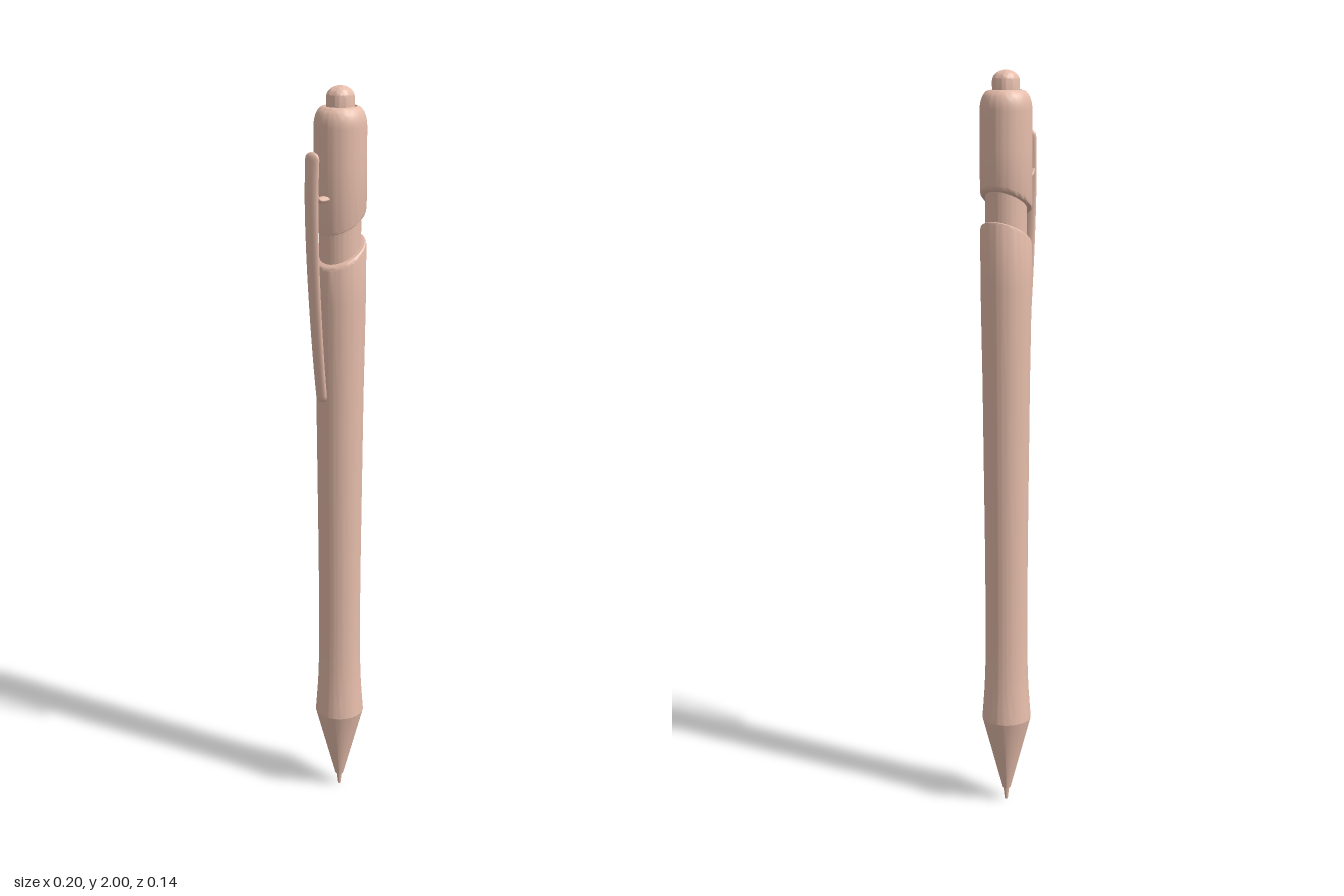
import * as THREE from 'three';
import { toCreasedNormals } from 'three/addons/utils/BufferGeometryUtils.js';

const AXIS_X = 0.03;
const material = new THREE.MeshStandardMaterial({ color: 0xe6bdab, side: THREE.DoubleSide });

function addMesh(group, name, geometry, x = AXIS_X) {
  const mesh = new THREE.Mesh(geometry, material);
  mesh.name = name;
  mesh.position.x = x;
  group.add(mesh);
}

// Lathe of [radius, y] points; rows between yFrom and yTo are sheared into a slanted end
function turned(points, slope = 0, yFrom = 0, yTo = 0) {
  const g = new THREE.LatheGeometry(points.map(([r, y]) => new THREE.Vector2(r, y)), 64);
  const p = g.attributes.position;
  for (let i = 0; i < p.count; i++) {
    const y = p.getY(i);
    if (y >= yFrom && y <= yTo) p.setY(i, y + slope * p.getX(i));
  }
  return toCreasedNormals(g, 0.6);
}

// Elliptical bar along a curve in the xy plane; size(t) gives [thickness, width] half sizes
function bar(curve, size, steps = 48, sides = 20) {
  const pos = [], index = [];
  for (let i = 0; i <= steps; i++) {
    const t = (1 - Math.cos(Math.PI * i / steps)) / 2;
    const c = curve.getPointAt(t), d = curve.getTangentAt(t), [a, b] = size(t);
    for (let j = 0; j < sides; j++) {
      const u = 2 * Math.PI * j / sides, n = a * Math.cos(u);
      pos.push(c.x - d.y * n, c.y + d.x * n, b * Math.sin(u));
      if (i < steps) {
        const k = i * sides + j, l = i * sides + (j + 1) % sides;
        index.push(k, l, k + sides, l, l + sides, k + sides);
      }
    }
  }
  const g = new THREE.BufferGeometry();
  g.setAttribute('position', new THREE.Float32BufferAttribute(pos, 3));
  g.setIndex(index);
  g.computeVertexNormals();
  return g;
}

const curve2 = (pts) => new THREE.CatmullRomCurve3(pts.map(([x, y]) => new THREE.Vector3(x, y, 0)));

export function createModel() {
  const group = new THREE.Group();
  group.name = 'pen';

  // Writing point and cone
  addMesh(group, 'tip', turned([[0, 0], [0.004, 0.002], [0.008, 0.036], [0.012, 0.038], [0.0675, 0.25]]));

  // Barrel, flared at the grip, with a slanted bevelled rim
  addMesh(group, 'barrel', turned([
    [0.0675, 0.25], [0.0645, 0.29], [0.061, 0.34], [0.0588, 0.4], [0.0575, 0.48], [0.0575, 0.58],
    [0.0585, 0.75], [0.0605, 0.95], [0.063, 1.2], [0.0655, 1.35], [0.067, 1.45],
    [0.0675, 1.577], [0.066, 1.584], [0.063, 1.587], [0.05, 1.587],
  ], 0.56, 1.5, 1.6));

  // Narrow neck in the slanted gap
  addMesh(group, 'neck', turned([[0.054, 1.5], [0.054, 1.75]]));

  // Cap with slanted lower rim and rounded shoulder
  const cap = [[0.05, 1.668], [0.063, 1.668], [0.066, 1.671], [0.0675, 1.678], [0.0675, 1.8], [0.0675, 1.9]];
  for (let i = 1; i <= 8; i++) {
    const a = i / 8 * Math.PI / 2;
    cap.push([0.042 + 0.0255 * Math.cos(a), 1.9 + 0.05 * Math.sin(a)]);
  }
  cap.push([0.04, 1.945], [0.034, 1.945]);
  addMesh(group, 'cap', turned(cap, 0.55, 1.6, 1.7));

  // Domed push button
  const button = [[0.036, 1.94], [0.036, 1.972]];
  for (let i = 1; i <= 10; i++) {
    const a = i / 10 * Math.PI / 2;
    button.push([0.036 * Math.cos(a), 1.972 + 0.028 * Math.sin(a)]);
  }
  addMesh(group, 'button', turned(button));

  // Bowed pocket clip with rounded ends
  const clipPath = curve2([[-0.05, 1.195], [-0.062, 1.29], [-0.077, 1.44], [-0.088, 1.6], [-0.0915, 1.73], [-0.087, 1.85]]);
  addMesh(group, 'clip', bar(clipPath, (t) => {
    const end = Math.sqrt(Math.max(0, 1 - Math.max(0, 1 - Math.min(t, 1 - t) / 0.025) ** 2));
    return [0.0088 * end, (0.016 + 0.005 * t) * end];
  }), 0);

  // Arm joining the clip to the cap, flaring into the clip
  const armPath = curve2([[-0.09, 1.75], [-0.082, 1.735], [-0.068, 1.728], [-0.02, 1.727]]);
  addMesh(group, 'clipArm', bar(armPath, (t) => [0.007, 0.019 - 0.004 * t], 20), 0);

  return group;
}
